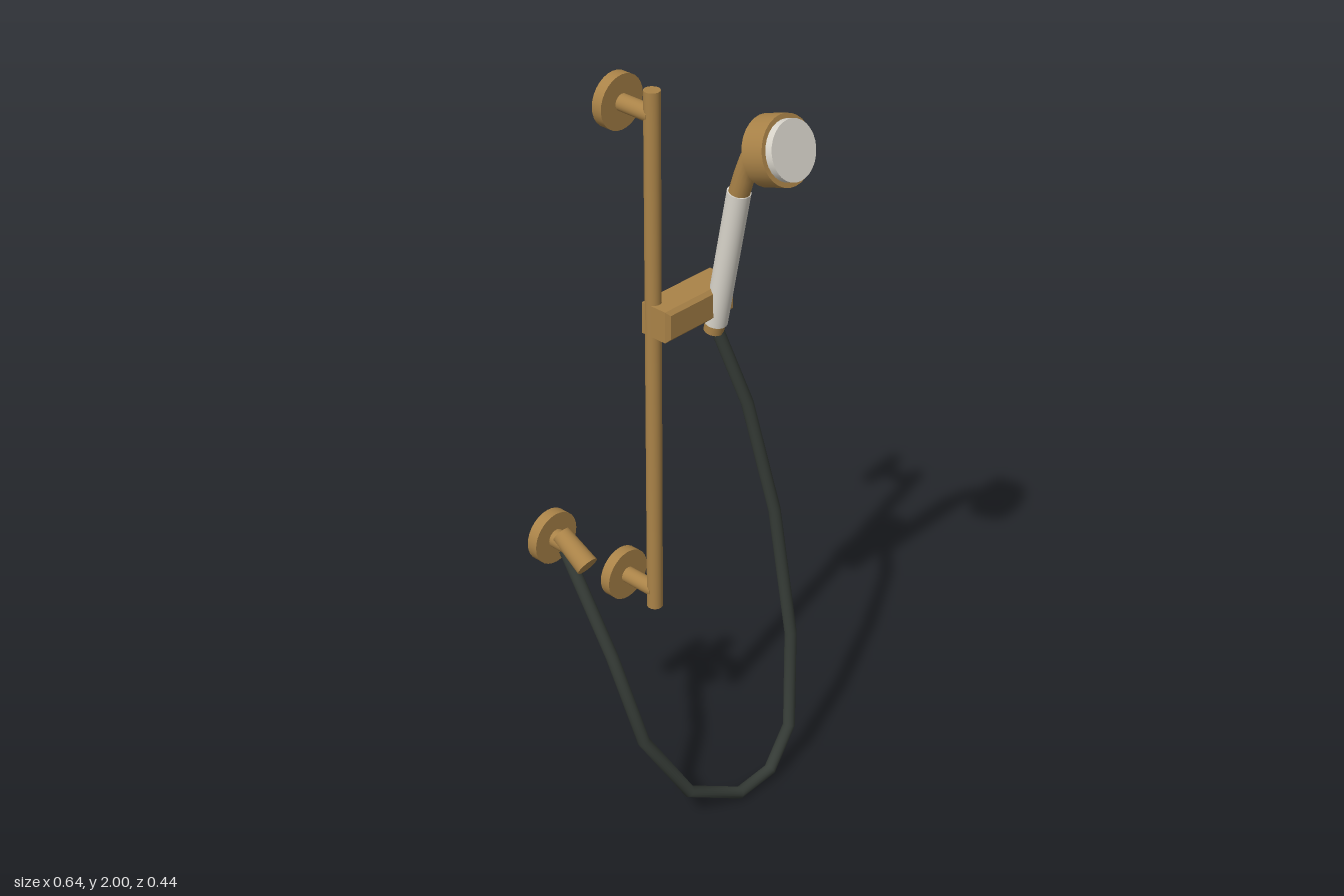
import * as THREE from 'three';

const V = (x, y, z) => new THREE.Vector3(x, y, z);

// Straight-segment path, sampled exactly at its corner points
class Polyline extends THREE.Curve {
  constructor(points) { super(); this.points = points; }
  getPoint(t, target = new THREE.Vector3()) {
    const n = this.points.length - 1;
    const s = THREE.MathUtils.clamp(t, 0, 1) * n;
    const i = Math.min(Math.floor(s), n - 1);
    return target.lerpVectors(this.points[i], this.points[i + 1], s - i);
  }
  getPointAt(u, target) { return this.getPoint(u, target); }
  getTangentAt(u, target) { return this.getTangent(u, target); }
}

export function createModel() {
  const model = new THREE.Group();
  const make = (name, color) => {
    const m = new THREE.MeshStandardMaterial({ color });
    m.name = name;
    return m;
  };
  const brass = make('brushed brass', 0xaa8348);
  const white = make('warm white', 0xdad6cc);
  const rubber = make('dark hose', 0x353b36);

  const add = (name, geometry, material) => {
    const mesh = new THREE.Mesh(geometry, material);
    mesh.name = name;
    model.add(mesh);
    return mesh;
  };
  // Cylinder or cone running from a to b
  const rod = (name, a, b, ra, material, rb = ra) => {
    const dir = b.clone().sub(a);
    const mesh = add(name, new THREE.CylinderGeometry(rb, ra, dir.length(), 28), material);
    mesh.position.copy(a).add(b).multiplyScalar(0.5);
    mesh.quaternion.setFromUnitVectors(V(0, 1, 0), dir.normalize());
    return mesh;
  };
  const tube = (name, points, r, material) =>
    add(name, new THREE.TubeGeometry(new Polyline(points), points.length - 1, r, 16), material);

  // Slide rail with its two wall mounts
  const railZ = -0.097, railX = 0.003;
  rod('rail', V(railX, 0.53, railZ), V(railX, 1.995, railZ), 0.021, brass);
  for (const [label, y] of [['upper', 1.933], ['lower', 0.58]]) {
    rod(label + 'MountPost', V(railX, y, -0.2), V(railX, y, railZ), 0.022, brass);
    rod(label + 'MountFlange', V(railX, y, -0.225), V(railX, y, -0.195), 0.071, brass);
  }

  // Wall outlet: flange, short stub and angled nozzle
  const outX = -0.252;
  rod('outletFlange', V(outX, 0.82, -0.225), V(outX, 0.82, -0.195), 0.071, brass);
  rod('outletStub', V(outX, 0.82, -0.2), V(outX, 0.82, -0.15), 0.025, brass);
  rod('outletNozzle', V(outX, 0.84, -0.177), V(outX, 0.785, -0.085), 0.025, brass, 0.03);

  // Sliding bracket with chamfered edges
  const c = 0.01, x0 = -0.016 + c, x1 = 0.228 - c, y0 = 1.347 + c, y1 = 1.433 - c;
  const outline = new THREE.Shape([[x0, y0], [x1, y0], [x1, y1], [x0, y1]]
    .map(([x, y]) => new THREE.Vector2(x, y)));
  const bracket = add('slideBracket', new THREE.ExtrudeGeometry(outline, {
    depth: 0.098 - 2 * c, bevelEnabled: true, bevelSize: c, bevelThickness: c, bevelSegments: 1,
  }), brass);
  bracket.position.z = -0.127 + c;

  // Hand shower: end collar, handle and bent neck
  const hx = 0.174;
  rod('hoseCollar', V(hx, 1.302, -0.053), V(hx, 1.34, -0.045), 0.026, brass);
  rod('handle', V(hx, 1.328, -0.046), V(hx, 1.712, 0.026), 0.03, white);
  tube('neck', [V(hx, 1.69, 0.02), V(hx, 1.76, 0.042), V(hx, 1.808, 0.06),
    V(hx, 1.832, 0.084), V(hx, 1.855, 0.13)], 0.027, brass);

  // Spray head, tilted slightly upward
  const face = V(hx, 1.877, 0.196);
  const normal = V(0, 0.31, 0.95).normalize();
  const along = (d) => face.clone().addScaledVector(normal, -d);
  rod('headBody', along(0.086), along(0.02), 0.0875, brass);
  rod('sprayPlate', along(0.03), face, 0.075, white);

  // Flexible hose hanging in a loop
  tube('hose', [
    V(outX, 0.80, -0.165), V(outX, 0.545, -0.003), V(-0.203, 0.28, 0.058),
    V(-0.1, 0.09, 0.125), V(0.05, 0.02, 0.167), V(0.17, 0.03, 0.168),
    V(0.26, 0.125, 0.155), V(0.302, 0.39, 0.116), V(0.292, 0.76, 0.058),
    V(0.235, 1.09, 0.008), V(hx, 1.32, -0.049),
  ], 0.0165, rubber);

  return model;
}
